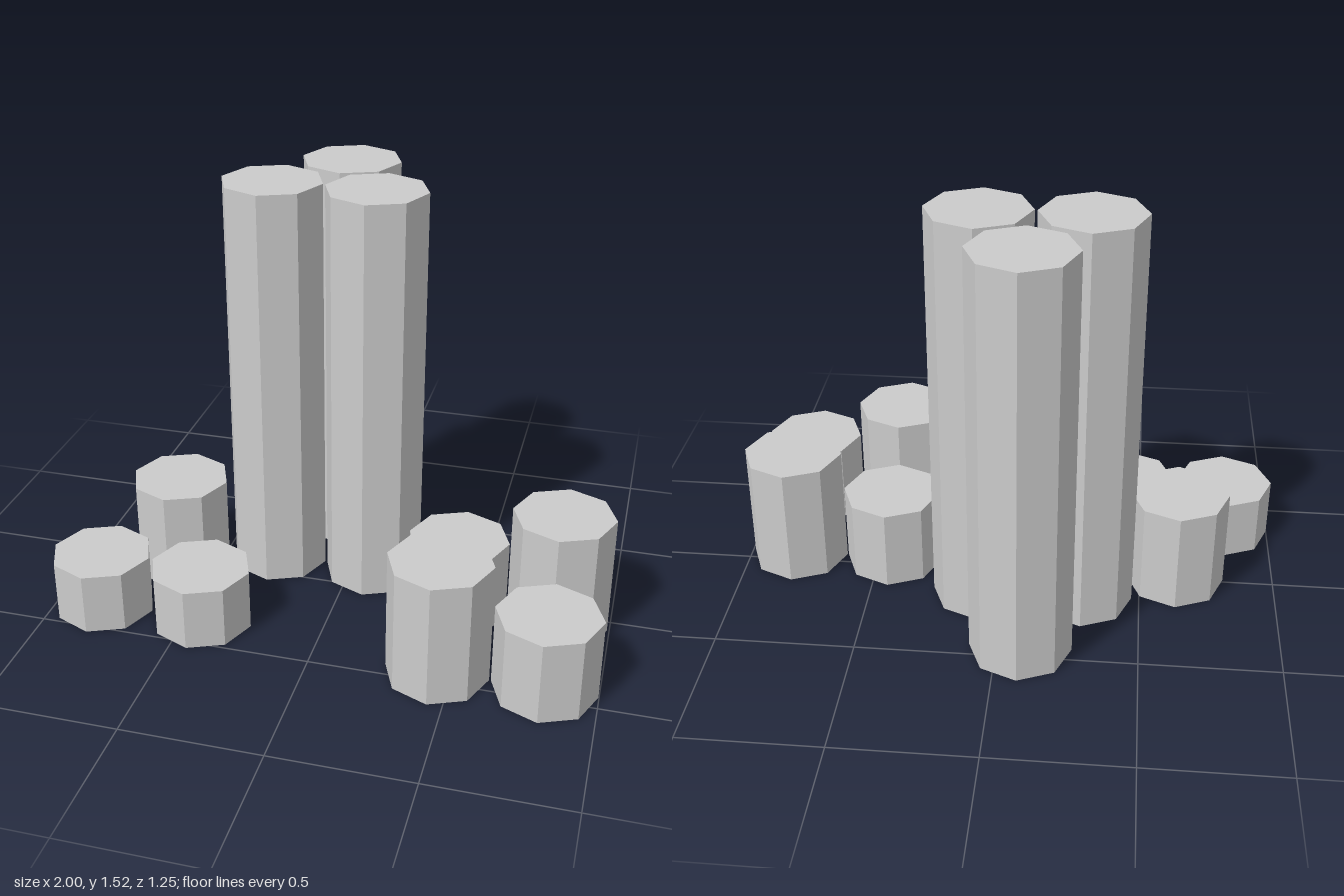
import * as THREE from 'three';

const RADIUS = 0.182;
const material = new THREE.MeshStandardMaterial({ color: 0xcccccc, flatShading: true });

// An octagonal column stacked from drums; levels are the heights of the joints, floor first.
function createColumn(name, x, z, levels) {
  const column = new THREE.Group();
  column.name = name;
  column.position.set(x, 0, z);
  for (let i = 1; i < levels.length; i++) {
    const height = levels[i] - levels[i - 1];
    const drum = new THREE.Mesh(new THREE.CylinderGeometry(RADIUS, RADIUS, height, 8), material);
    drum.name = `${name}Drum${i}`;
    drum.position.y = levels[i - 1] + height / 2;
    column.add(drum);
  }
  return column;
}

export function createModel() {
  const model = new THREE.Group();
  model.name = 'columnCluster';

  // Tall trio: a short base drum with six equal drums above
  const tall = [0];
  for (let i = 0; i <= 6; i++) tall.push(0.153 + i * 0.228);
  const trio = [[-0.085, -0.443], [-0.29, -0.13], [0.083, -0.125]];
  trio.forEach(([x, z], i) => model.add(createColumn(`tallColumn${i + 1}`, x, z, tall)));

  // Low trio on the right-hand side (-x)
  model.add(createColumn('steppedColumn', -0.632, 0.012, [0, 0.153, 0.381]));
  model.add(createColumn('shortColumnOuter', -0.818, 0.352, [0, 0.228]));
  model.add(createColumn('shortColumnInner', -0.438, 0.352, [0, 0.228]));

  // Group of four on the left-hand side (+x), alternating in height
  model.add(createColumn('lowBackColumn', 0.442, 0.05, [0, 0.305]));
  model.add(createColumn('highBackColumn', 0.81, 0.05, [0, 0.456]));
  model.add(createColumn('highFrontColumn', 0.446, 0.441, [0, 0.456]));
  model.add(createColumn('lowFrontColumn', 0.816, 0.441, [0, 0.305]));

  return model;
}
